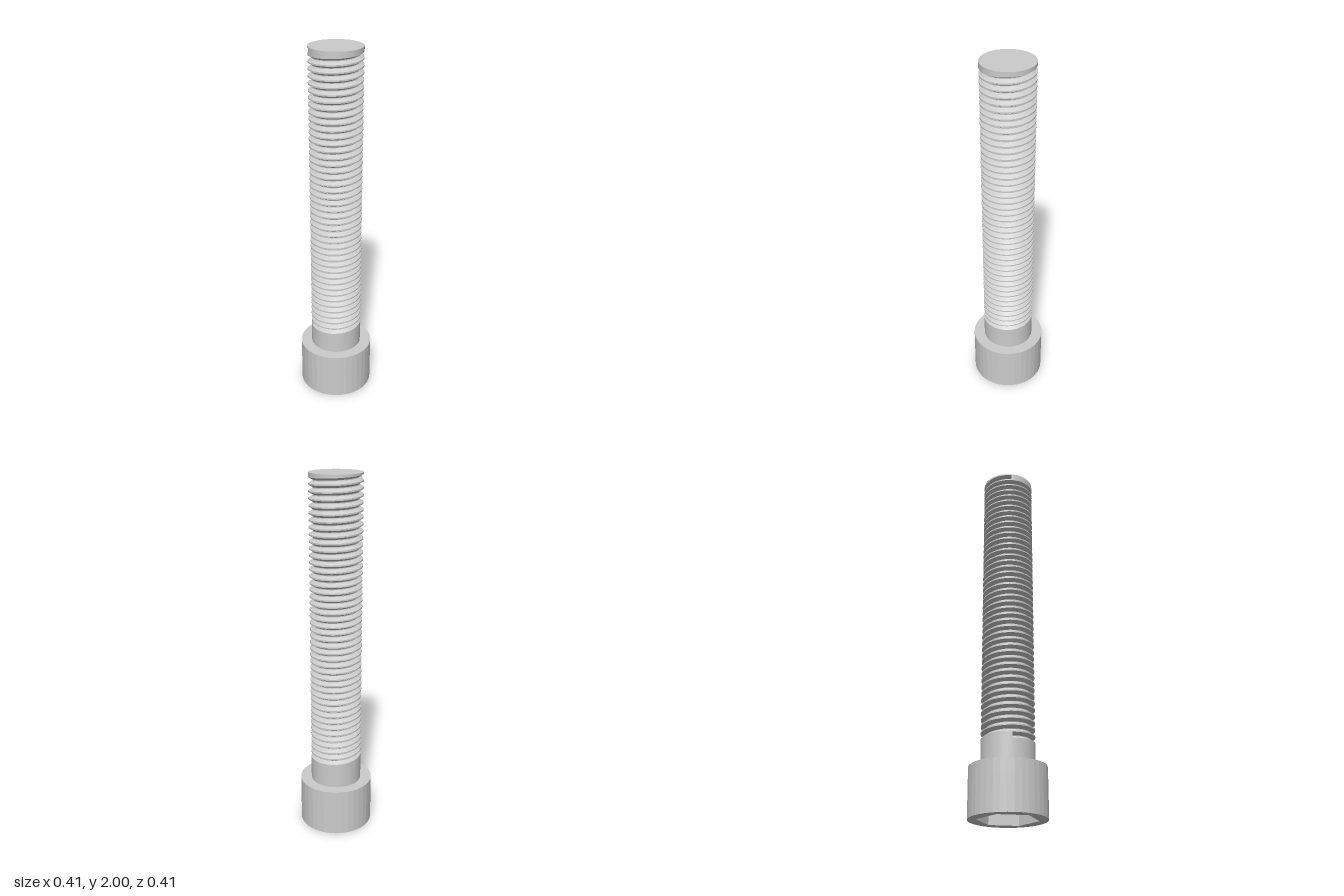
import * as THREE from 'three';
import { toCreasedNormals } from 'three/addons/utils/BufferGeometryUtils.js';

const HEAD_R = 0.204, HEAD_H = 0.265, HEAD_SIDES = 36;
const SOCKET_R = 0.16, SOCKET_DEPTH = 0.19;
const CREST = 0.142, ROOT = 0.12, TOP = 2;
const PITCH = 0.0368, TURNS = 43, THREAD_START = 0.375, SIDES = 64;

// One turn of the thread: [fraction of the pitch, radius]
const PROFILE = [[0, CREST], [0.2, CREST], [0.55, ROOT], [0.67, ROOT]];

function polygon(radius, sides) {
  return Array.from({ length: sides }, (_, i) => {
    const a = Math.PI / 2 + (i / sides) * Math.PI * 2;
    return new THREE.Vector2(Math.cos(a) * radius, Math.sin(a) * radius);
  });
}

// Shank, right-handed thread and flat tip as one helical skin
function shankGeometry() {
  const positions = [], index = [];
  const last = TURNS * PROFILE.length;
  const rows = last + 4;

  for (let i = 0; i <= SIDES; i++) {
    const turn = i / SIDES;
    const angle = -Math.PI / 2 + turn * Math.PI * 2;
    const add = (r, y) => positions.push(Math.sin(angle) * r, y, Math.cos(angle) * r);
    add(CREST, HEAD_H);
    for (let j = 0; j <= last; j++) {
      const [f, r] = PROFILE[j % PROFILE.length];
      add(r, THREAD_START + PITCH * (Math.floor(j / PROFILE.length) + f + turn));
    }
    add(CREST, TOP);
    add(0, TOP);
  }

  for (let i = 0; i < SIDES; i++) {
    for (let j = 0; j < rows - 1; j++) {
      const a = i * rows + j, b = a + rows;
      index.push(a, b, b + 1);
      if (j < rows - 2) index.push(a, b + 1, a + 1);
    }
  }

  // Close the groove where it starts and where it runs out
  for (const s of [2, SIDES * rows + last - 2]) {
    index.push(s, s + 1, s + 2, s, s + 2, s + 3);
  }

  const geometry = new THREE.BufferGeometry();
  geometry.setAttribute('position', new THREE.Float32BufferAttribute(positions, 3));
  geometry.setIndex(index);
  return toCreasedNormals(geometry, Math.PI / 6);
}

export function createModel() {
  const group = new THREE.Group();
  group.name = 'socketHeadBolt';
  const flat = new THREE.MeshStandardMaterial({ color: 0xcccccc, flatShading: true });
  const smooth = new THREE.MeshStandardMaterial({ color: 0xcccccc, side: THREE.DoubleSide });

  const add = (name, geometry, material) => {
    const mesh = new THREE.Mesh(geometry, material);
    mesh.name = name;
    group.add(mesh);
    return mesh;
  };

  // Lower head with the hexagonal socket open to the underside
  const outline = new THREE.Shape(polygon(HEAD_R, HEAD_SIDES));
  outline.holes.push(new THREE.Path(polygon(SOCKET_R, 6)));
  const socket = new THREE.ExtrudeGeometry(outline, { depth: SOCKET_DEPTH, bevelEnabled: false });
  socket.rotateX(-Math.PI / 2);
  add('headSocket', socket, flat);

  // Solid upper head, whose underside is the socket floor
  const capH = HEAD_H - SOCKET_DEPTH;
  const cap = add('headTop', new THREE.CylinderGeometry(HEAD_R, HEAD_R, capH, HEAD_SIDES), flat);
  cap.position.y = SOCKET_DEPTH + capH / 2;

  add('threadedShank', shankGeometry(), smooth);
  return group;
}
